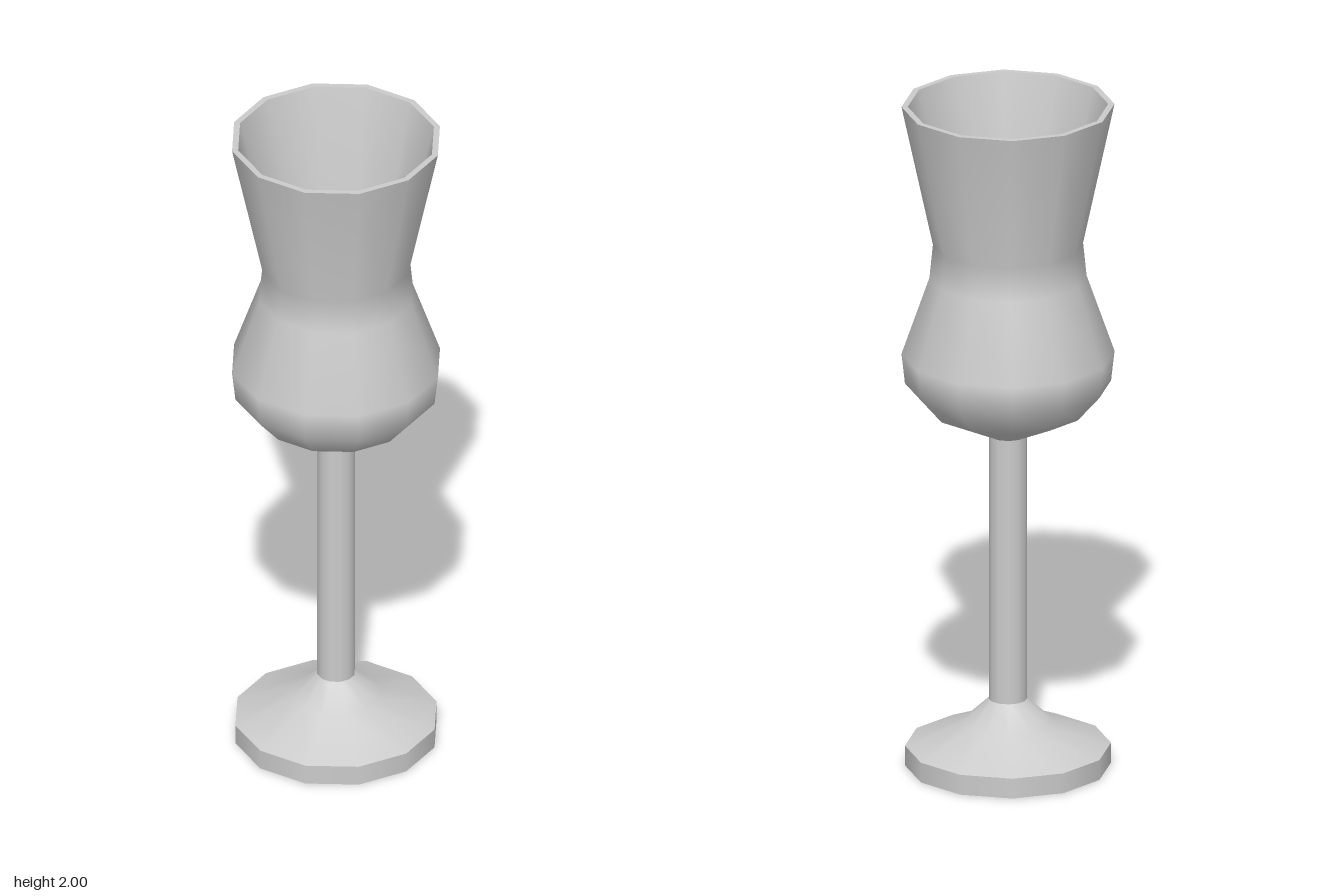
import * as THREE from 'three';

const SIDES = 12;

export function createModel() {
  const group = new THREE.Group();
  group.name = 'stemmedGlass';
  const material = new THREE.MeshStandardMaterial({ color: 0xcccccc });

  // Each profile is a list of [radius, height]; separate profiles keep a crisp edge between them
  const turn = (name, profile) => {
    const points = profile.map(([r, y]) => new THREE.Vector2(r, y));
    const mesh = new THREE.Mesh(new THREE.LatheGeometry(points, SIDES), material);
    mesh.name = name;
    group.add(mesh);
  };

  // Foot: flat underside, low wall and flared top
  turn('footUnderside', [[0, 0], [0.295, 0]]);
  turn('footWall', [[0.295, 0], [0.295, 0.06]]);
  turn('footTop', [[0.295, 0.06], [0.13, 0.13], [0.055, 0.2]]);

  // Stem
  turn('stem', [[0.055, 0.2], [0.055, 1]]);

  // Bowl: bulging outside, flat rim and hollow inside
  turn('bowlOutside', [
    [0.055, 1], [0.225, 1.08], [0.295, 1.16], [0.305, 1.25],
    [0.225, 1.48], [0.215, 1.58], [0.305, 2],
  ]);
  turn('rim', [[0.305, 2], [0.287, 2]]);
  turn('bowlInside', [
    [0.287, 2], [0.19, 1.58], [0.2, 1.48], [0.28, 1.25],
    [0.272, 1.17], [0.21, 1.1], [0.05, 1.025], [0, 1.025],
  ]);

  return group;
}
